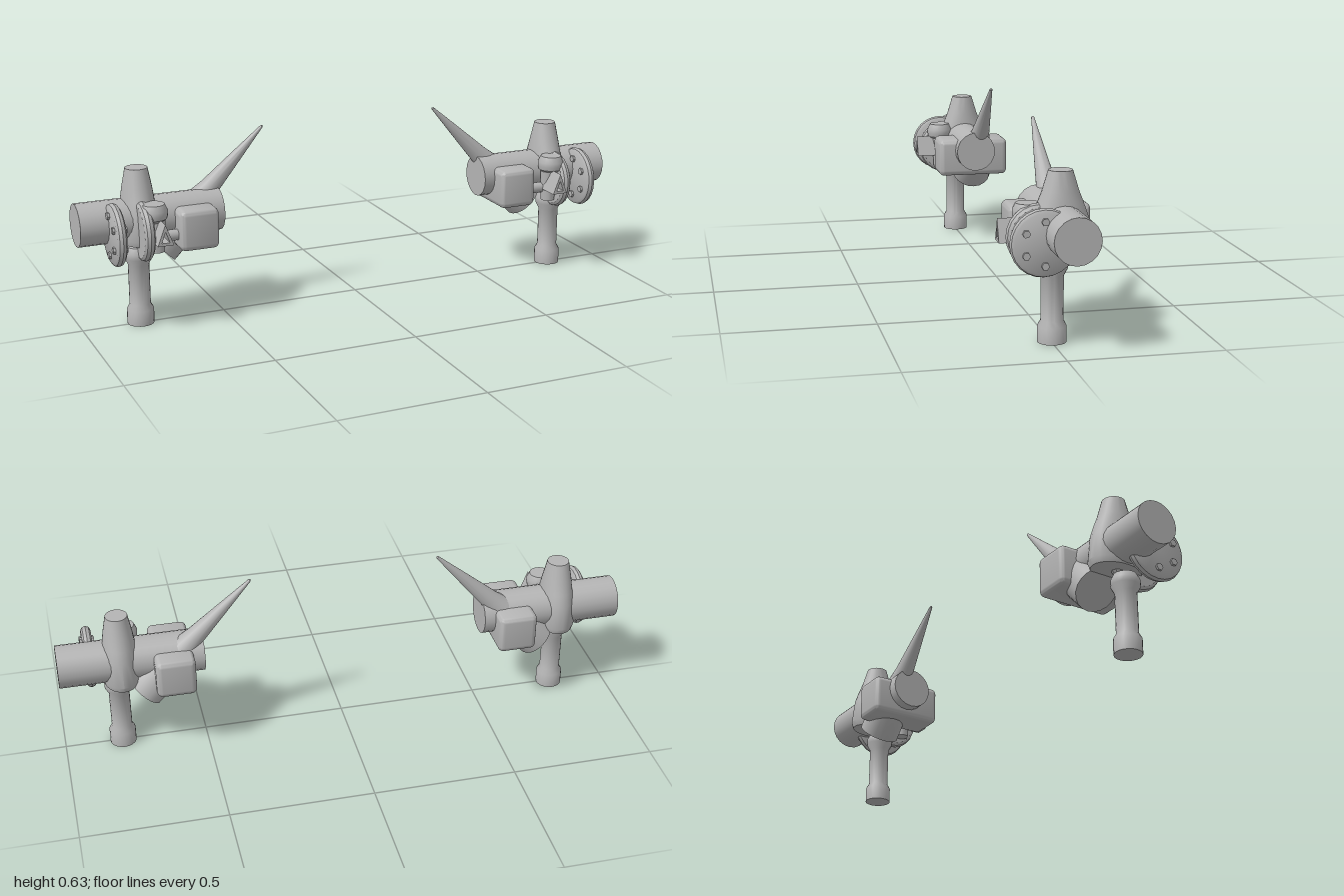
import * as THREE from 'three';
import { toCreasedNormals } from 'three/addons/utils/BufferGeometryUtils.js';
import { RoundedBoxGeometry } from 'three/addons/geometries/RoundedBoxGeometry.js';

const grey = new THREE.MeshStandardMaterial({ color: 0xb4b4b4 });
grey.name = 'metal grey';

// solid of revolution around y from [radius, height] pairs, bottom to top
function turned(profile, sides = 20) {
  return new THREE.LatheGeometry(profile.map(([r, y]) => new THREE.Vector2(r, y)), sides);
}

// closed cylinder lying along x
function barX(radius, x0, x1, y, z, sides = 20) {
  return new THREE.CylinderGeometry(radius, radius, x1 - x0, sides)
    .rotateZ(-Math.PI / 2).translate((x0 + x1) / 2, y, z);
}

// round-edged wheel with its axle along x
function wheel(radius, x0, x1, y, z) {
  const h = (x1 - x0) / 2;
  return turned([[0, -h], [radius - 0.013, -h], [radius - 0.004, -h * 0.65], [radius, 0],
    [radius - 0.004, h * 0.65], [radius - 0.013, h], [0, h]], 24)
    .rotateZ(-Math.PI / 2).translate((x0 + x1) / 2, y, z);
}

// reflect through x = 0 and restore the corner order
function mirrored(source) {
  const g = source.index ? source.toNonIndexed() : source.clone();
  const p = g.attributes.position;
  const a = new THREE.Vector3(), b = new THREE.Vector3();
  for (let i = 0; i < p.count; i += 3) {
    p.setX(i, -p.getX(i));
    a.fromBufferAttribute(p, i + 1);
    b.fromBufferAttribute(p, i + 2);
    p.setXYZ(i + 1, -b.x, b.y, b.z);
    p.setXYZ(i + 2, -a.x, a.y, a.z);
  }
  return g;
}

// every part of the left assembly
function buildParts() {
  const parts = {};

  parts.mainBarrel = barX(0.074, 0.5, 1, 0.363, -0.03);

  // flared hub, deeper than it is wide
  parts.hub = turned([[0, 0.285], [0.09, 0.285], [0.098, 0.305], [0.088, 0.395],
    [0.074, 0.435], [0.058, 0.475], [0.038, 0.54], [0, 0.54]], 24)
    .scale(1, 1, 1);
  const hub = parts.hub.attributes.position;
  for (let i = 0; i < hub.count; i++) {
    const squeeze = THREE.MathUtils.lerp(0.7, 1, THREE.MathUtils.smoothstep(hub.getY(i), 0.4, 0.54));
    hub.setX(i, hub.getX(i) * squeeze);
  }
  parts.hub.translate(0.785, 0, -0.03);

  // handle with a wider foot and collar
  parts.handle = turned([[0, 0], [0.046, 0], [0.046, 0.052], [0.036, 0.07], [0.036, 0.212],
    [0.048, 0.235], [0.048, 0.255], [0.038, 0.275], [0, 0.275]]).translate(0.797, 0, -0.003);

  // slanted plug that tapers to a spike
  parts.spike = turned([[0, 0], [0.074, 0], [0.073, 0.1], [0.048, 0.19], [0.034, 0.265],
    [0.02, 0.4], [0.005, 0.54], [0, 0.545]])
    .rotateZ(Math.PI / 4).translate(0.711, 0.247, -0.052);

  // block passing through the barrel
  parts.block = new RoundedBoxGeometry(0.137, 0.141, 0.265, 3, 0.02)
    .translate(0.608, 0.334, -0.028);

  // outer wheel with a ring of bolts
  parts.outerWheel = wheel(0.107, 0.87, 0.904, 0.338, 0.046);
  for (let i = 0; i < 6; i++) {
    const t = Math.PI / 6 + i * Math.PI / 3;
    parts['bolt' + (i + 1)] = barX(0.0125, 0.862, 0.912,
      0.338 + 0.068 * Math.sin(t), 0.046 + 0.068 * Math.cos(t), 6);
  }

  parts.innerWheel = wheel(0.103, 0.772, 0.808, 0.338, 0.04);

  // rounded knob beside the inner wheel
  parts.knob = turned([[0, 0.375], [0.028, 0.375], [0.044, 0.387], [0.047, 0.4],
    [0.047, 0.415], [0.037, 0.436], [0, 0.436]]).translate(0.758, 0, 0.068);
  parts.knobStem = turned([[0, 0.27], [0.025, 0.27], [0.03, 0.38], [0, 0.38]], 16)
    .translate(0.75, 0, 0.068);

  // three-sided catch on the front
  const triangle = new THREE.Shape([[-0.028, 0], [0.028, 0], [0, 0.073]]
    .map(([x, y]) => new THREE.Vector2(x, y)));
  const hole = new THREE.Path([[-0.014, 0.01], [0, 0.048], [0.014, 0.01]]
    .map(([x, y]) => new THREE.Vector2(x, y)));
  triangle.holes.push(hole);
  parts.catch = new THREE.ExtrudeGeometry(triangle, { depth: 0.08, bevelEnabled: false })
    .translate(0.747, 0.315, 0.08);

  parts.linkPin = barX(0.019, 0.66, 0.79, 0.317, 0.06, 16);
  return parts;
}

export function createModel() {
  const model = new THREE.Group();
  const parts = buildParts();
  for (const side of ['left', 'right']) {
    const assembly = new THREE.Group();
    assembly.name = side + 'Assembly';
    for (const [name, geometry] of Object.entries(parts)) {
      const g = side === 'left' ? geometry : mirrored(geometry);
      const mesh = new THREE.Mesh(toCreasedNormals(g, 0.6), grey);
      mesh.name = name;
      assembly.add(mesh);
    }
    model.add(assembly);
  }
  return model;
}
